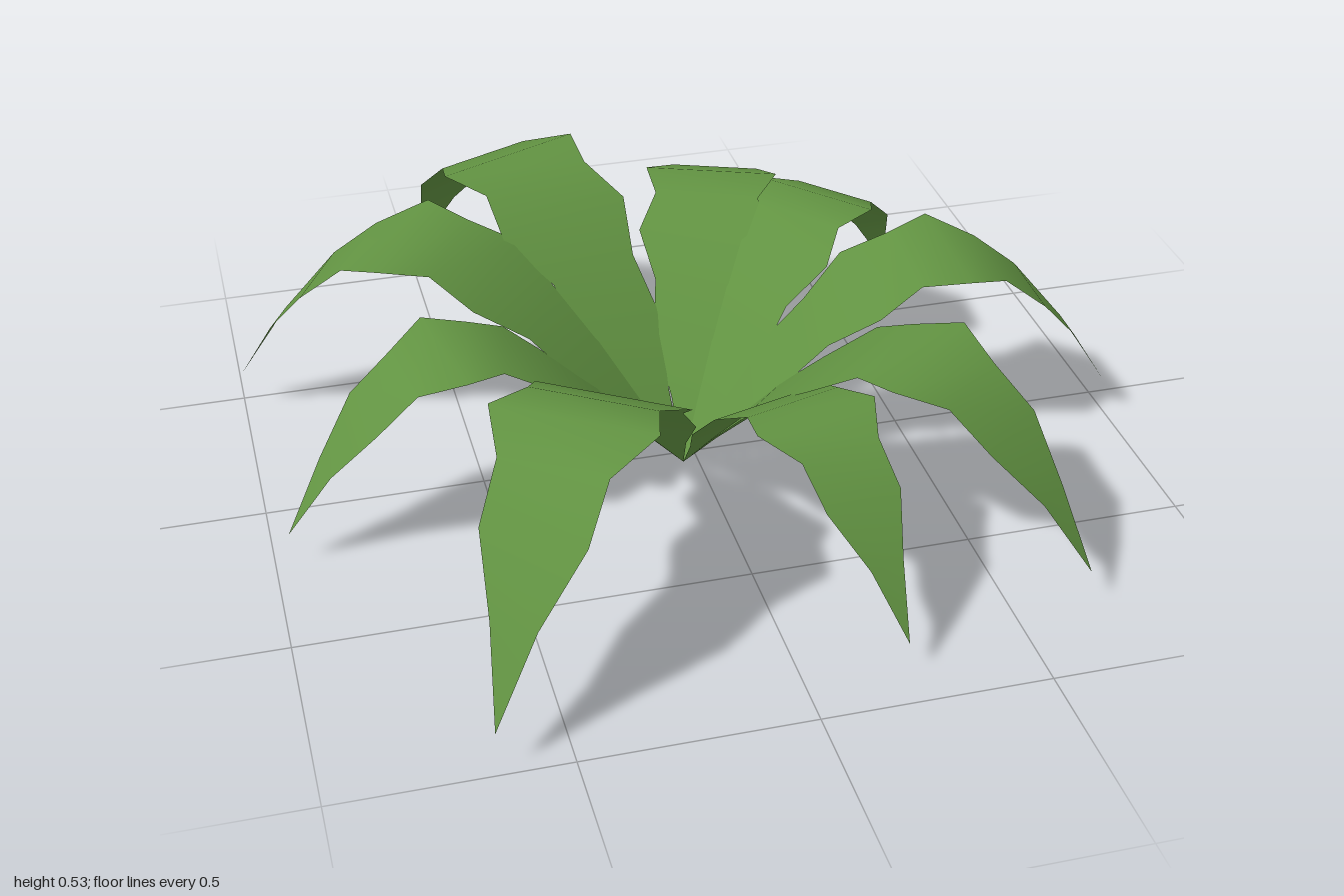
import * as THREE from 'three';

// Shared leaf profile for a leaf of length 1, sampled at even steps from root to tip
const HALF_WIDTH = [0, 0.04, 0.095, 0.103, 0.155, 0.127, 0.163, 0.106, 0.102, 0.045, 0];
const HEIGHT = [0, 0.118, 0.23, 0.325, 0.405, 0.458, 0.475, 0.436, 0.354, 0.235, 0.078];
const ROOT = new THREE.Vector2(-0.035, 0.04);

// Ground position (x, z) of each leaf tip
const TIPS = [
  [-0.49, -0.99], [0.32, -0.87], [0.68, -0.6], [1, 0.065], [0.67, 0.78],
  [0.22, 0.9], [-0.655, 0.98], [-0.965, 0.2], [-1, -0.475],
];

// Arching blade with a toothed outline: root point, rows of two corners, tip point
function leafGeometry(length) {
  const last = HALF_WIDTH.length - 1;
  const points = [];
  const faces = [];
  HALF_WIDTH.forEach((w, i) => {
    const y = HEIGHT[i] * length;
    const z = (i / last) * length;
    points.push(-w * length, y, z, w * length, y, z);
    if (i === 0) return;
    const a = 2 * (i - 1), b = a + 1, c = a + 2, d = a + 3;
    if (i > 1) faces.push(a, d, b);
    if (i === 1) faces.push(a, c, d);
    else if (i < last) faces.push(a, c, d);
    else {
      // The tip is a single point
      faces.pop(); faces.pop(); faces.pop();
      faces.push(a, c, b);
    }
  });
  const geometry = new THREE.BufferGeometry();
  geometry.setAttribute('position', new THREE.Float32BufferAttribute(points, 3));
  geometry.setIndex(faces);
  geometry.computeVertexNormals();
  return geometry;
}

export function createModel() {
  const plant = new THREE.Group();
  plant.name = 'leafyPlant';
  const leafGreen = new THREE.MeshStandardMaterial({ color: 0x629342, side: THREE.DoubleSide });
  leafGreen.name = 'leafGreen';

  // Leaves fan out from one root point
  TIPS.forEach(([x, z], i) => {
    const dx = x - ROOT.x;
    const dz = z - ROOT.y;
    const leaf = new THREE.Mesh(leafGeometry(Math.hypot(dx, dz)), leafGreen);
    leaf.name = `leaf${i + 1}`;
    leaf.position.set(ROOT.x, 0, ROOT.y);
    leaf.rotation.y = Math.atan2(dx, dz);
    plant.add(leaf);
  });
  return plant;
}
